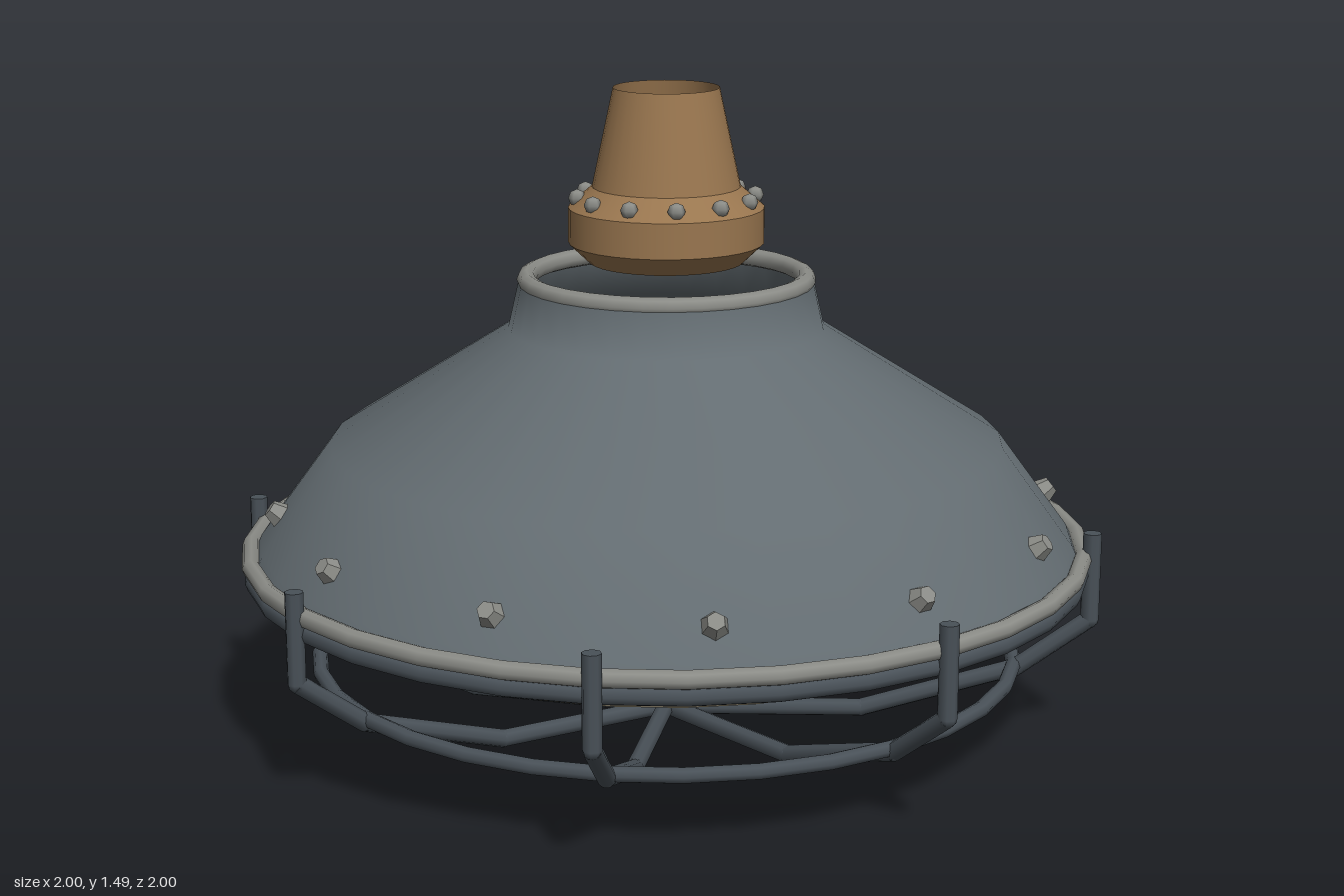
import * as THREE from 'three';

const mat = (name, color, side = THREE.FrontSide) => {
  const m = new THREE.MeshStandardMaterial({ color, side });
  m.name = name;
  return m;
};

export function createModel() {
  const model = new THREE.Group();
  model.name = 'cagedLamp';

  const shadeGrey = mat('shade grey', 0x636c71, THREE.DoubleSide);
  const trimGrey = mat('trim grey', 0x8b8c87);
  const cageSteel = mat('cage steel', 0x495158);
  const lensCream = mat('lens cream', 0xdccdaa, THREE.DoubleSide);
  const socketBrown = mat('socket brown', 0x99764f, THREE.DoubleSide);

  const add = (name, geometry, material, parent = model) => {
    const mesh = new THREE.Mesh(geometry, material);
    mesh.name = name;
    parent.add(mesh);
    return mesh;
  };
  const lathe = (name, points, material, sides = 32) =>
    add(name, new THREE.LatheGeometry(points.map(([r, y]) => new THREE.Vector2(r, y)), sides), material);
  const ring = (name, radius, tube, y, material) => {
    const mesh = add(name, new THREE.TorusGeometry(radius, tube, 8, 32), material);
    mesh.rotation.x = Math.PI / 2;
    mesh.position.y = y;
    return mesh;
  };

  // Flared shade with its neck, open at both ends
  lathe('shade', [[0.96, 0.40], [0.935, 0.455], [0.77, 0.68], [0.36, 0.94], [0.335, 1.05]], shadeGrey);
  ring('neckRing', 0.318, 0.022, 1.05, trimGrey);
  ring('rimRing', 0.96, 0.021, 0.43, trimGrey);

  // Shallow lens under the shade
  lathe('lens', [[0, 0.165], [0.42, 0.183], [0.77, 0.30], [0.885, 0.41]], lensCream);

  // Floating socket: closed below, open on top
  lathe('socket', [[0, 1.09], [0.175, 1.09], [0.175, 1.09], [0.222, 1.135], [0.222, 1.135], [0.222, 1.215],
    [0.222, 1.215], [0.168, 1.262], [0.168, 1.262], [0.12, 1.485]], socketBrown);

  // Twelve rivets round the shade and round the socket
  const shadeRivets = new THREE.Group();
  shadeRivets.name = 'shadeRivets';
  const socketRivets = new THREE.Group();
  socketRivets.name = 'socketRivets';
  model.add(shadeRivets, socketRivets);
  const rivetShape = new THREE.CylinderGeometry(0.02, 0.034, 0.04, 6).toNonIndexed();
  rivetShape.computeVertexNormals();
  const smallRivet = new THREE.SphereGeometry(0.02, 6, 4);
  const up = new THREE.Vector3(0, 1, 0);
  for (let i = 0; i < 12; i++) {
    const a = (i * Math.PI) / 6, s = Math.sin(a), c = Math.cos(a);
    const rivet = add('shadeRivet', rivetShape, trimGrey, shadeRivets);
    rivet.position.set(0.895 * s, 0.523, 0.895 * c);
    rivet.quaternion.setFromUnitVectors(up, new THREE.Vector3(0.8 * s, 0.6, 0.8 * c).normalize());
    add('socketRivet', smallRivet, trimGrey, socketRivets).position.set(0.202 * s, 1.238, 0.202 * c);
  }

  // Wire cage: two rings and eight bent spokes
  ring('cageUpperRing', 0.953, 0.022, 0.393, cageSteel);
  ring('cageLowerRing', 0.81, 0.018, 0.167, cageSteel);
  const bends = [[0.979, 0.49], [0.979, 0.285], [0.815, 0.16], [0.46, 0.042], [0, 0.021]]
    .map(([r, y]) => new THREE.Vector3(r, y, 0));
  const wire = 0.021;
  for (let i = 0; i < 8; i++) {
    const spoke = new THREE.Group();
    spoke.name = 'cageSpoke';
    spoke.rotation.y = (i * Math.PI) / 4;
    model.add(spoke);
    for (let j = 0; j < bends.length - 1; j++) {
      const dir = bends[j].clone().sub(bends[j + 1]);
      const bar = add('spokeBar', new THREE.CylinderGeometry(wire, wire, dir.length(), 8), cageSteel, spoke);
      bar.position.copy(bends[j]).add(bends[j + 1]).multiplyScalar(0.5);
      bar.quaternion.setFromUnitVectors(up, dir.normalize());
      add('spokeBend', new THREE.SphereGeometry(wire, 8, 6), cageSteel, spoke).position.copy(bends[j + 1]);
    }
  }
  return model;
}
